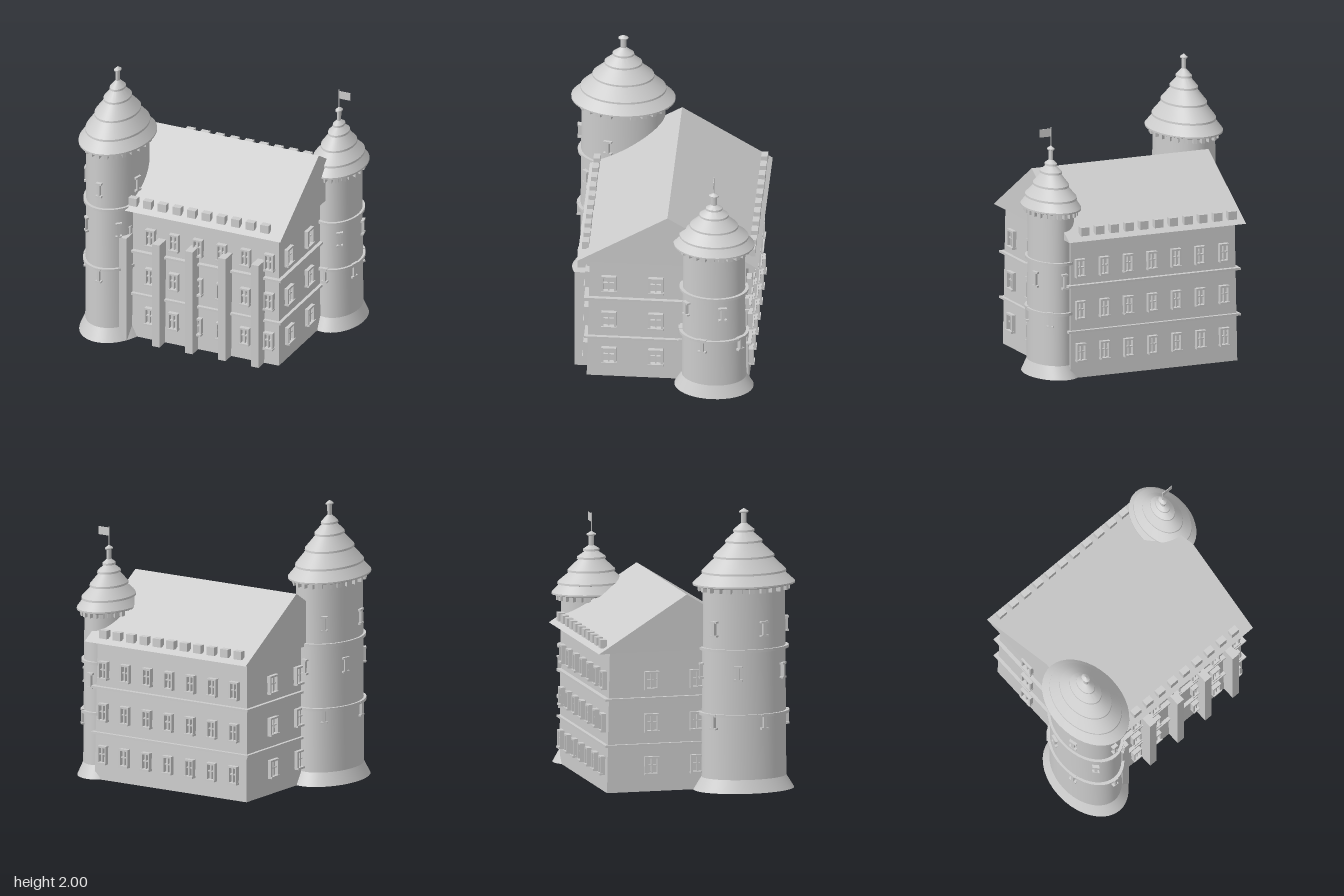
import * as THREE from 'three';
import { toCreasedNormals } from 'three/addons/utils/BufferGeometryUtils.js';

const stone = new THREE.MeshStandardMaterial({ color: 0xcccccc });
stone.name = 'stone grey';

function add(parent, name, geometry, x = 0, y = 0, z = 0) {
  const m = new THREE.Mesh(geometry, stone);
  m.name = name;
  m.position.set(x, y, z);
  parent.add(m);
  return m;
}
const box = (w, h, d) => new THREE.BoxGeometry(w, h, d);
const lathe = (pts) => toCreasedNormals(
  new THREE.LatheGeometry(pts.map(([r, y]) => new THREE.Vector2(r, y)), 40), 0.4);

// Framed window with cross bars and a sill, facing +z
function makeWindow(w) {
  const g = new THREE.Group();
  g.name = 'window';
  const h = 0.132, t = w * 0.15, d = 0.05;
  for (const s of [-1, 1]) {
    add(g, 'windowJamb', box(t, h, d), s * (w - t) / 2, 0, 0);
    add(g, 'windowRail', box(w - 2 * t, 0.013, d), 0, s * (h - 0.013) / 2, 0);
  }
  add(g, 'windowMullion', box(w * 0.1, h - 0.026, d - 0.01), 0, 0, -0.005);
  add(g, 'windowTransom', box(w - 2 * t, 0.008, d - 0.012), 0, 0.005, -0.006);
  add(g, 'windowSill', box(w * 1.04, 0.014, d + 0.008), 0, -h / 2 + 0.007, 0.004);
  return g;
}

// I-shaped arrow slit surround, facing +z
function makeSlit() {
  const g = new THREE.Group();
  g.name = 'arrowSlit';
  add(g, 'slitStem', box(0.024, 0.09, 0.04));
  for (const s of [-1, 1]) add(g, 'slitBar', box(0.062, 0.013, 0.044), 0, s * 0.049, 0);
  return g;
}

// Round tower with flared foot, string courses, dentils and stepped roof
function makeTower(name, o) {
  const g = new THREE.Group();
  g.name = name;
  const { foot, low, high, eaveY, roof, rings, slitRows } = o;
  add(g, 'towerShaft', lathe([[0, 0], [foot, 0], [low, 0.092], [high, eaveY], [0, eaveY]]));

  const radiusAt = (y) => low + (high - low) * (y - 0.092) / (eaveY - 0.092);
  for (const y of rings) {
    const r = radiusAt(y);
    add(g, 'stringCourse', lathe([[r - 0.01, y - 0.01], [r + 0.024, y - 0.01],
      [r + 0.024, y + 0.01], [r - 0.01, y + 0.01]]));
  }

  const around = (n, offset, make) => {
    for (let i = 0; i < n; i++) {
      const a = (i + offset) / n * Math.PI * 2;
      const spoke = new THREE.Group();
      spoke.rotation.y = a;
      spoke.name = 'towerDetail';
      make(spoke);
      g.add(spoke);
    }
  };
  around(24, 0, (s) => add(s, 'dentil', box(0.034, 0.034, 0.05), 0, eaveY - 0.017, high + 0.012));
  slitRows.forEach(([y, offset]) => around(5, offset, (s) => {
    const slit = makeSlit();
    slit.position.set(0, y, radiusAt(y) + 0.004);
    s.add(slit);
  }));

  // Each roof course overhangs the one below it
  const pts = [[0, eaveY], [roof[0][0] - 0.03, eaveY], [roof[0][0], eaveY + 0.008], [roof[0][0], eaveY + 0.02]];
  for (let i = 1; i < roof.length; i++) {
    const [r, y] = roof[i];
    if (i === roof.length - 1) pts.push([0, y]);
    else pts.push([r - 0.004, y - 0.008], [r + 0.01, y - 0.006], [r + 0.008, y + 0.008]);
  }
  add(g, 'towerRoof', lathe(pts));

  // Finial
  const top = roof[roof.length - 1][1];
  add(g, 'finial', lathe([[0, top - 0.03], [0.02, top - 0.03], [0.021, top + 0.055],
    [0.035, top + 0.06], [0.035, top + 0.068], [0, top + 0.09]]));
  g.scale.x = 0.685;
  return g;
}

export function createModel() {
  const model = new THREE.Group();
  model.name = 'castle';
  const cx = 0.025, cz = -0.072;

  // Main hall with slightly battered walls
  const hall = box(1.29, 1, 1.144);
  const p = hall.attributes.position;
  for (let i = 0; i < p.count; i++) {
    if (p.getY(i) > 0) p.setXYZ(i, p.getX(i) * 0.985, p.getY(i), p.getZ(i) * 0.96);
  }
  hall.computeVertexNormals();
  add(model, 'hallWalls', hall, cx, 0.5, cz);
  for (const y of [0.335, 0.665]) add(model, 'hallStringCourse', box(1.33, 0.016, 1.18), cx, y, cz);

  // Gabled roof
  const gable = new THREE.Shape();
  gable.moveTo(-0.712, 1.0);
  gable.lineTo(0.566, 1.0);
  gable.lineTo(-0.073, 1.4);
  gable.closePath();
  const roof = new THREE.ExtrudeGeometry(gable, { depth: 1.368, bevelEnabled: false });
  roof.rotateY(-Math.PI / 2);
  add(model, 'hallRoof', roof, 0.71, 0, 0);

  // Merlons along both eaves
  for (let k = 0; k < 11; k++) {
    for (const z of [0.513, -0.662]) {
      add(model, 'merlon', box(0.064, 0.06, 0.046), 0.573 - k * 0.114, 1.062, z);
    }
  }

  // Front buttresses
  for (let k = 0; k < 5; k++) add(model, 'buttress', box(0.058, 0.796, 0.13), -0.502 + k * 0.257, 0.398, 0.528);

  // Three storeys of windows on every wall
  const place = (w, x, y, z, turn) => {
    const win = makeWindow(w);
    win.position.set(x, y, z);
    win.rotation.y = turn;
    model.add(win);
  };
  for (const y of [0.184, 0.489, 0.791]) {
    const lean = 0.02 * y;
    for (let k = 0; k < 7; k++) {
      const x = 0.595 - k * 0.185;
      place(0.073, x, y, 0.507 - lean, 0);
      place(0.073, x, y, -0.651 + lean, Math.PI);
    }
    for (const z of [0.343, 0.012, -0.32]) {
      place(0.105, 0.672 - lean / 2, y, z, Math.PI / 2);
      place(0.105, -0.622 + lean / 2, y, z, -Math.PI / 2);
    }
  }

  // Tall front tower
  const tall = makeTower('tallTower', {
    foot: 0.362, low: 0.305, high: 0.295, eaveY: 1.455,
    roof: [[0.368, 1.46], [0.295, 1.552], [0.21, 1.66], [0.125, 1.765], [0.068, 1.84], [0, 1.91]],
    rings: [0.548, 1.012], slitRows: [[0.503, 0], [0.852, 0.5], [1.165, 0]],
  });
  tall.position.set(-0.658, 0, 0.342);
  model.add(tall);

  // Short rear tower
  const short = makeTower('shortTower', {
    foot: 0.28, low: 0.228, high: 0.217, eaveY: 1.19,
    roof: [[0.285, 1.2], [0.235, 1.275], [0.162, 1.36], [0.095, 1.45], [0.05, 1.505], [0, 1.55]],
    rings: [0.465, 0.828], slitRows: [[0.425, 0], [0.702, 0.5]],
  });
  short.position.set(0.712, 0, -0.402);
  model.add(short);

  // Flag on the short tower
  add(model, 'flagPole', new THREE.CylinderGeometry(0.004, 0.004, 0.15, 8), 0.712, 1.695, -0.402);
  add(model, 'flag', box(0.086, 0.058, 0.004), 0.757, 1.733, -0.402);

  return model;
}
